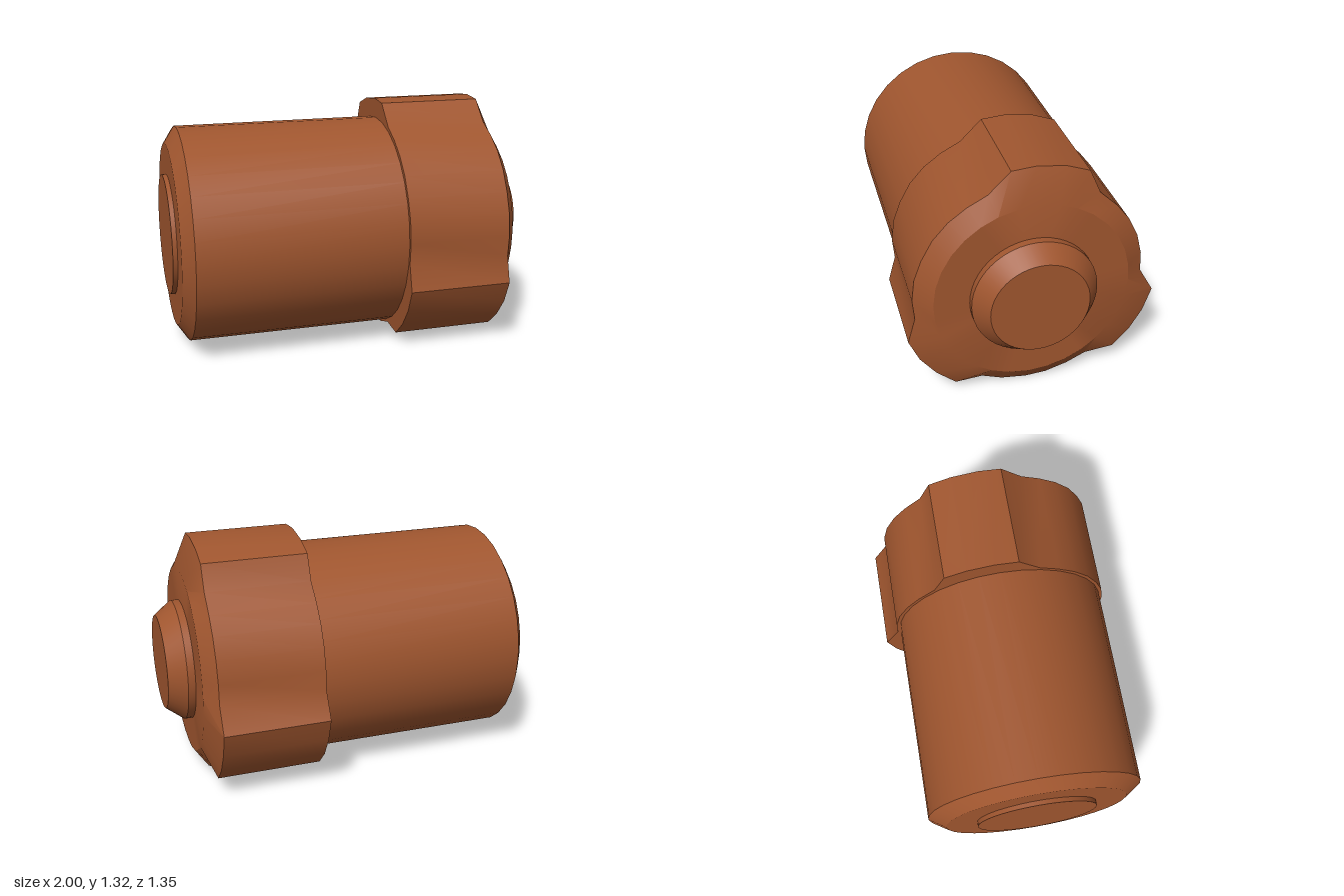
import * as THREE from 'three';
import { toCreasedNormals } from 'three/addons/utils/BufferGeometryUtils.js';

const material = new THREE.MeshStandardMaterial({ color: 0xa0562f });
const CENTER = { y: 0.617, z: 0.01 };

// Turned part: profile of [radius, x], revolved about the x axis
function turned(name, profile, segments) {
  const lathe = new THREE.LatheGeometry(profile.map(([r, x]) => new THREE.Vector2(r, x)), segments);
  lathe.rotateZ(-Math.PI / 2);
  const mesh = new THREE.Mesh(toCreasedNormals(lathe, 0.5), material);
  mesh.name = name;
  return mesh;
}

// Collar outline [z, y], clockwise seen from +x: three raised lobes on a round rim
const OUTLINE = [
  [0.13, 1.31], [0, 1.32], [-0.15, 1.3], [-0.275, 1.255],
  [-0.335, 1.12], [-0.43, 1.03], [-0.5, 0.94], [-0.555, 0.83], [-0.585, 0.71], [-0.59, 0.6],
  [-0.67, 0.46], [-0.625, 0.325], [-0.555, 0.205], [-0.465, 0.11],
  [-0.305, 0.095], [-0.2, 0.045], [-0.08, 0.01], [0.035, 0.003], [0.17, 0.02], [0.28, 0.06],
  [0.425, 0.05], [0.53, 0.14], [0.615, 0.25], [0.67, 0.375],
  [0.63, 0.52], [0.64, 0.635], [0.625, 0.76], [0.585, 0.87], [0.525, 0.98], [0.445, 1.07],
  [0.35, 1.14], [0.245, 1.195],
].map(([z, y]) => [z - 0.025, y - CENTER.y]);

// Lobed collar lofted from outline to outline to a round front face
function collar() {
  const ring = (x, radius) => OUTLINE.map(([z, y]) => {
    const k = radius === undefined ? 1 : radius / Math.hypot(z, y);
    return [x, y * k, z * k];
  });
  const rings = [ring(0.225, 0), ring(0.225), ring(0.795), ring(0.86, 0.52), ring(0.86, 0)];
  const positions = [];
  for (let k = 0; k < rings.length - 1; k++) {
    const a = rings[k], b = rings[k + 1];
    for (let i = 0; i < a.length; i++) {
      const j = (i + 1) % a.length;
      if (k > 0) positions.push(...a[i], ...b[i], ...a[j]);
      if (k < rings.length - 2) positions.push(...b[i], ...b[j], ...a[j]);
      else continue;
    }
  }
  const geometry = new THREE.BufferGeometry();
  geometry.setAttribute('position', new THREE.Float32BufferAttribute(positions, 3));
  const mesh = new THREE.Mesh(toCreasedNormals(geometry, 0.5), material);
  mesh.name = 'lobedCollar';
  return mesh;
}

export function createModel() {
  const group = new THREE.Group();
  group.name = 'lobedPlug';

  // Everything sits on one axis that is turned very slightly
  const axis = new THREE.Group();
  axis.name = 'plugAxis';
  axis.position.set(0, CENTER.y, CENTER.z);
  axis.rotation.y = -0.018;

  axis.add(
    turned('barrel', [[0, -0.97], [0.505, -0.97], [0.596, -0.91], [0.596, 0.25], [0, 0.25]], 32),
    turned('rearDisc', [[0, -0.995], [0.333, -0.995], [0.333, -0.95], [0, -0.95]], 48),
    collar(),
    turned('frontHub', [[0, 0.84], [0.333, 0.84], [0.333, 0.9], [0.26, 0.995], [0, 0.995]], 48),
  );
  group.add(axis);
  return group;
}
